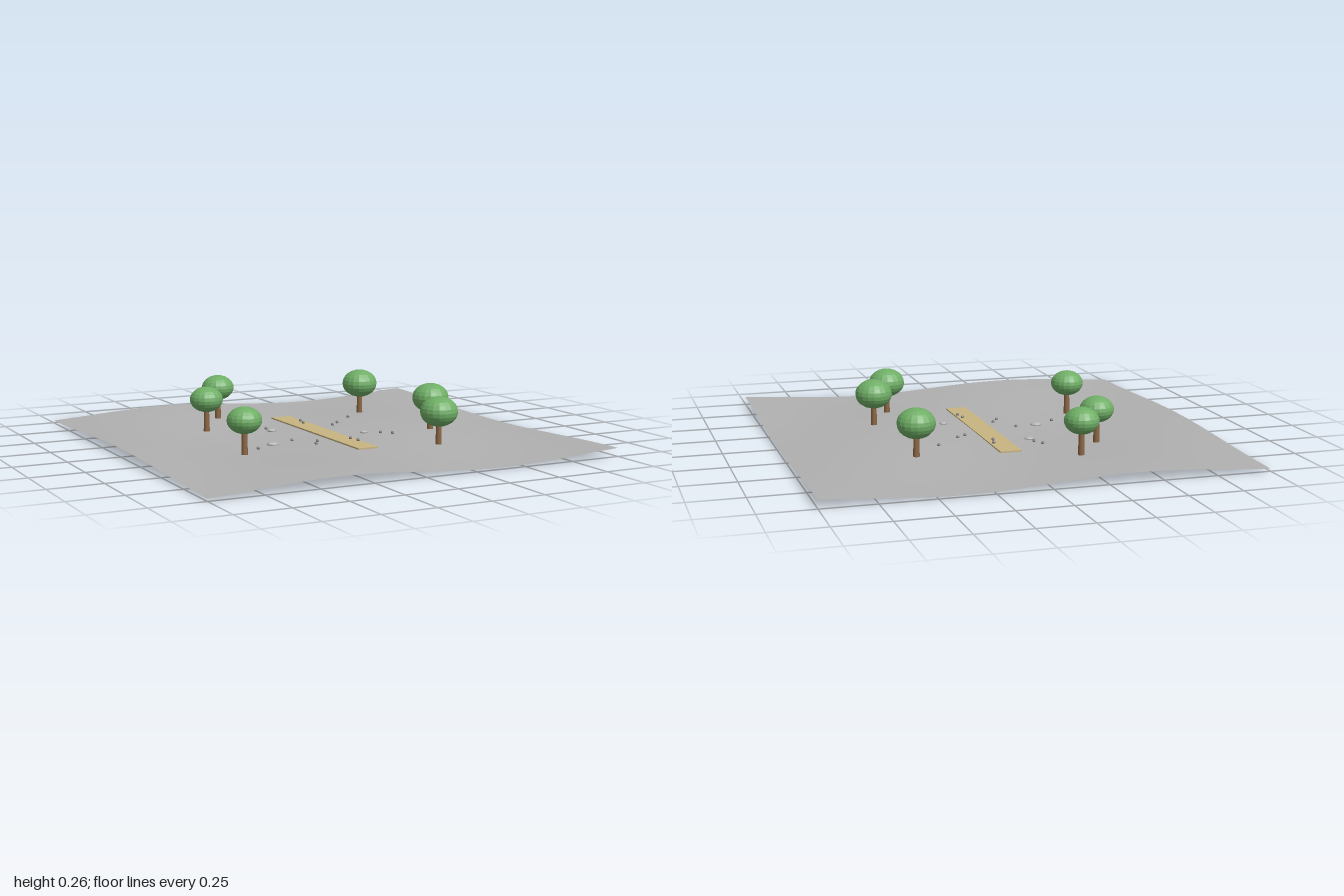
import * as THREE from 'three';

const mat = (name, color, extra = {}) => {
  const m = new THREE.MeshStandardMaterial({ color, ...extra });
  m.name = name;
  return m;
};

// Gentle rolling surface shared by the ground and everything standing on it
const heightAt = (x, z) => 0.025 + 0.0185 * Math.sin(4 * x) * Math.cos(3 * z);

export function createModel() {
  const model = new THREE.Group();
  model.name = 'parkland';

  const groundGrey = mat('ground grey', 0xb0b0b0, { side: THREE.DoubleSide });
  const pathTan = mat('path tan', 0xc8b482);
  const trunkBrown = mat('trunk brown', 0x8b6644);
  const leafGreen = mat('leaf green', 0x6fae66, { flatShading: true });
  const boulderGrey = mat('boulder grey', 0xb4b4b4);
  const pebbleGrey = mat('pebble grey', 0x808080);

  const add = (parent, name, geometry, material, x, y, z) => {
    const mesh = new THREE.Mesh(geometry, material);
    mesh.name = name;
    mesh.position.set(x, y, z);
    parent.add(mesh);
    return mesh;
  };

  // Ground sheet, displaced by the height rule
  const ground = new THREE.PlaneGeometry(2, 2, 48, 48).rotateX(-Math.PI / 2);
  const p = ground.attributes.position;
  for (let i = 0; i < p.count; i++) p.setY(i, heightAt(p.getX(i), p.getZ(i)));
  ground.computeVertexNormals();
  add(model, 'ground', ground, groundGrey, 0, 0, 0);

  // Straight path
  add(model, 'path', new THREE.BoxGeometry(0.1, 0.007, 0.92), pathTan, 0.015, 0.0305, 0);

  // Trees: x, z, crown radius, crown height above the ground
  const trees = [
    [-0.51, 0.265, 0.08, 0.157], [-0.437, -0.345, 0.08, 0.157], [-0.27, -0.595, 0.08, 0.157],
    [0.445, -0.42, 0.088, 0.152], [0.497, 0.198, 0.088, 0.152], [0.363, 0.497, 0.088, 0.152],
  ];
  for (const [x, z, r, h] of trees) {
    const tree = new THREE.Group();
    tree.name = 'tree';
    tree.position.set(x, heightAt(x, z), z);
    add(tree, 'trunk', new THREE.CylinderGeometry(0.012, 0.015, 0.12, 10), trunkBrown, 0, 0.06, 0);
    add(tree, 'crown', new THREE.SphereGeometry(r, 18, 12), leafGreen, 0, h, 0).scale.y = r > 0.085 ? 0.79 : 0.77;
    model.add(tree);
  }

  // Flattened boulders
  for (const [x, z, r] of [[-0.155, -0.205, 0.024], [-0.287, 0.087, 0.029], [0.171, 0.13, 0.019]]) {
    add(model, 'boulder', new THREE.SphereGeometry(r, 12, 8), boulderGrey, x, heightAt(x, z) + 0.003, z)
      .scale.set(1, 0.42, 0.85);
  }

  // Scattered pebbles
  const pebbles = [
    [-0.185, -0.313], [-0.16, -0.26], [0.048, -0.3], [0.034, -0.242], [0.135, -0.122],
    [0.18, -0.16], [0.305, -0.283], [-0.39, 0.15], [-0.175, 0.06], [-0.09, 0.158],
    [-0.122, 0.208], [0.045, 0.233], [0.053, 0.293], [0.232, 0.183], [0.275, 0.223],
  ];
  const pebble = new THREE.SphereGeometry(0.008, 8, 6);
  for (const [x, z] of pebbles) {
    const onPath = x > -0.035 && x < 0.065;
    add(model, 'pebble', pebble, pebbleGrey, x, onPath ? 0.038 : heightAt(x, z) + 0.004, z);
  }

  return model;
}
